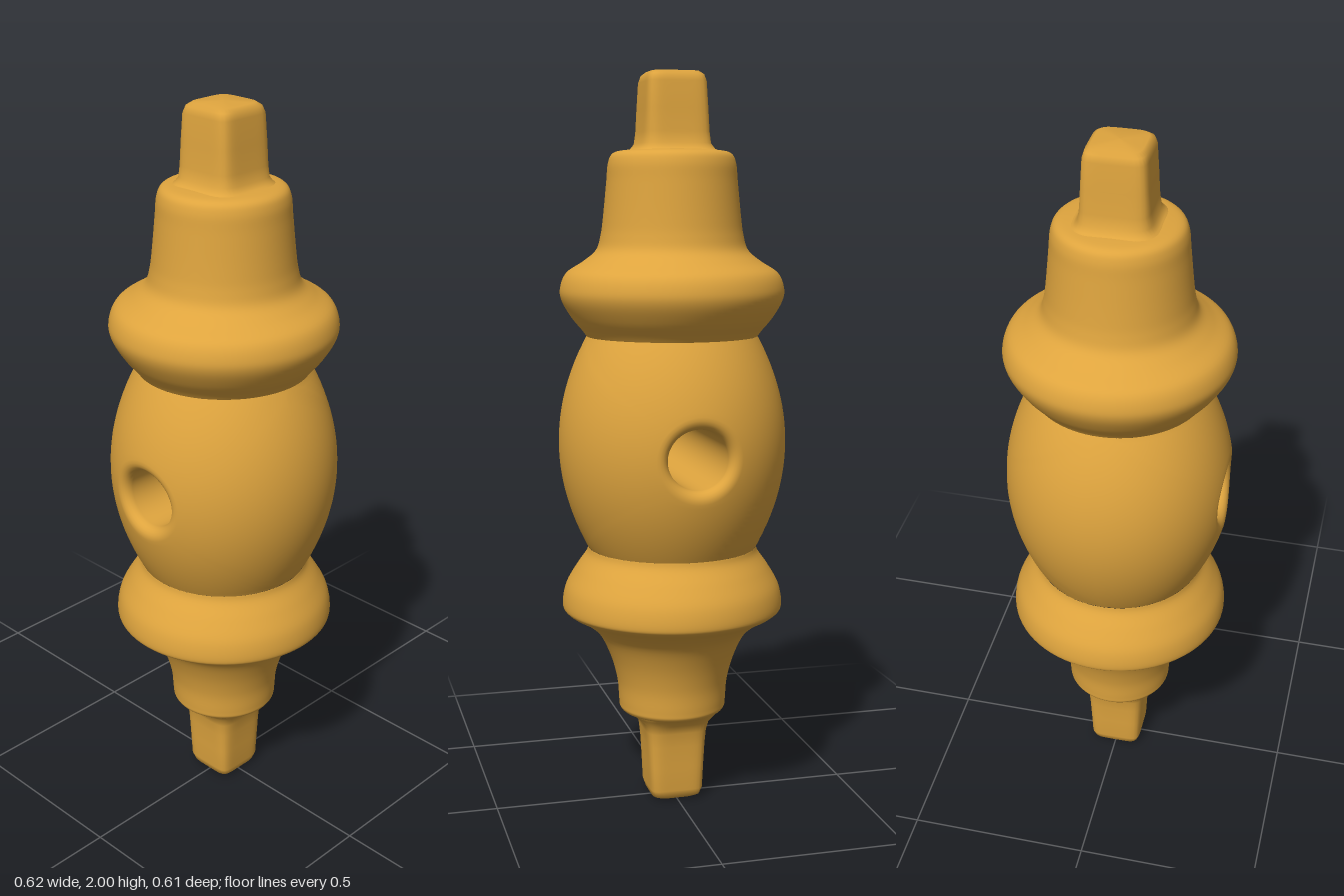
import * as THREE from 'three';
import { mergeVertices, mergeGeometries } from 'three/addons/utils/BufferGeometryUtils.js';

const material = new THREE.MeshStandardMaterial({ color: 0xdea43e, roughness: 0.8 });

function addMesh(group, geometry, name) {
  const mesh = new THREE.Mesh(geometry, material);
  mesh.name = name;
  group.add(mesh);
}

// Grid of points (rows of equal length, closed around) to a smooth surface
function skin(rows) {
  const n = rows[0].length, index = [];
  for (let j = 0; j < rows.length - 1; j++) {
    for (let i = 0; i < n; i++) {
      const a = j * n + i, b = j * n + (i + 1) % n;
      index.push(a, b, a + n, b, b + n, a + n);
    }
  }
  const geometry = new THREE.BufferGeometry();
  geometry.setAttribute('position', new THREE.Float32BufferAttribute(rows.flat(2), 3));
  geometry.setIndex(index);
  return geometry;
}

// Turned section: smooth curve through [radius, y] points, bottom to top
function turned(points) {
  const curve = new THREE.SplineCurve(points.map(([r, y]) => new THREE.Vector2(r, y)));
  return new THREE.LatheGeometry(curve.getPoints(points.length * 5), 80);
}

// Square peg with rounded corners: [half width, y, roundness exponent], bottom to top
function peg(sections) {
  const rows = sections.map(([h, y, e]) => Array.from({ length: 64 }, (_, i) => {
    const t = -i / 64 * Math.PI * 2, c = Math.cos(t), s = Math.sin(t);
    const k = h / Math.pow(Math.abs(c) ** e + Math.abs(s) ** e, 1 / e);
    return [c * k, y, s * k];
  }));
  const geometry = skin(rows);
  geometry.computeVertexNormals();
  return geometry;
}

// Half of the barrel, from its outline inwards to the rounded rim and down the hole
function barrelHalf() {
  const rays = 96, hole = 0.08, fillet = 0.035, midY = 1.01, halfY = 0.29, arc = 0.3;
  const radius = y => 0.232 + 0.078 * (1 - ((y - midY) / halfY) ** 2);
  const ring = place => Array.from({ length: rays }, (_, i) => {
    const t = i / rays * Math.PI * 2;
    return place(Math.cos(t), Math.sin(t));
  });
  const onBarrel = (p, y, drop = 0) => {
    const r = radius(y), a = p / arc;
    return [r * Math.sin(a), y, r * Math.cos(a) - drop];
  };
  const rows = [];
  // barrel face
  for (let j = 0; j <= 16; j++) {
    const f = j / 16;
    rows.push(ring((c, s) => {
      const k = 1 / Math.max(Math.abs(c), Math.abs(s)), rim = hole + fillet;
      return onBarrel(
        THREE.MathUtils.lerp(arc * Math.PI / 2 * c * k, rim * c, f),
        THREE.MathUtils.lerp(midY + halfY * s * k, 1 + rim * s, f));
    }));
  }
  // rounded rim
  for (let j = 1; j <= 6; j++) {
    const a = j / 6 * Math.PI / 2, d = hole + fillet * (1 - Math.sin(a));
    rows.push(ring((c, s) => onBarrel(d * c, 1 + d * s, fillet * (1 - Math.cos(a)))));
  }
  // hole wall to the middle
  const rim = rows[rows.length - 1];
  for (const f of [0.8, 0.4, 0]) rows.push(rim.map(([x, y, z]) => [x, y, z * f]));
  return skin(rows);
}

export function createModel() {
  const group = new THREE.Group();
  group.name = 'turnedSpindle';

  addMesh(group, peg([
    [0.001, 0, 4], [0.055, 0.002, 5], [0.068, 0.01, 6], [0.074, 0.03, 7], [0.077, 0.1, 7],
    [0.081, 0.16, 6], [0.086, 0.2, 5], [0.095, 0.225, 4], [0.115, 0.243, 3], [0.135, 0.254, 2],
  ]), 'lowerSquarePeg');

  addMesh(group, turned([
    [0.08, 0.246], [0.13, 0.25], [0.146, 0.26], [0.149, 0.28], [0.154, 0.34], [0.173, 0.41],
    [0.205, 0.475], [0.25, 0.515], [0.293, 0.54], [0.304, 0.56], [0.295, 0.61],
    [0.267, 0.66], [0.239, 0.7], [0.232, 0.72],
  ]), 'lowerCollar');

  // Barrel with a hole running front to back
  const front = barrelHalf();
  const barrel = mergeVertices(mergeGeometries([front, front.clone().rotateY(Math.PI)]), 1e-4);
  barrel.computeVertexNormals();
  addMesh(group, barrel, 'piercedBarrel');

  addMesh(group, turned([
    [0.232, 1.3], [0.243, 1.315], [0.272, 1.35], [0.298, 1.395], [0.302, 1.43], [0.285, 1.47],
    [0.24, 1.5], [0.205, 1.53], [0.192, 1.57], [0.185, 1.62], [0.176, 1.71],
    [0.171, 1.76], [0.157, 1.786], [0.12, 1.794], [0.07, 1.796],
  ]), 'upperCollar');

  addMesh(group, peg([
    [0.125, 1.79, 2.5], [0.105, 1.796, 4], [0.093, 1.81, 5], [0.088, 1.84, 6], [0.084, 1.9, 7],
    [0.08, 1.97, 7], [0.075, 1.988, 6], [0.064, 1.997, 5], [0.001, 2, 4],
  ]), 'upperSquarePeg');

  return group;
}
